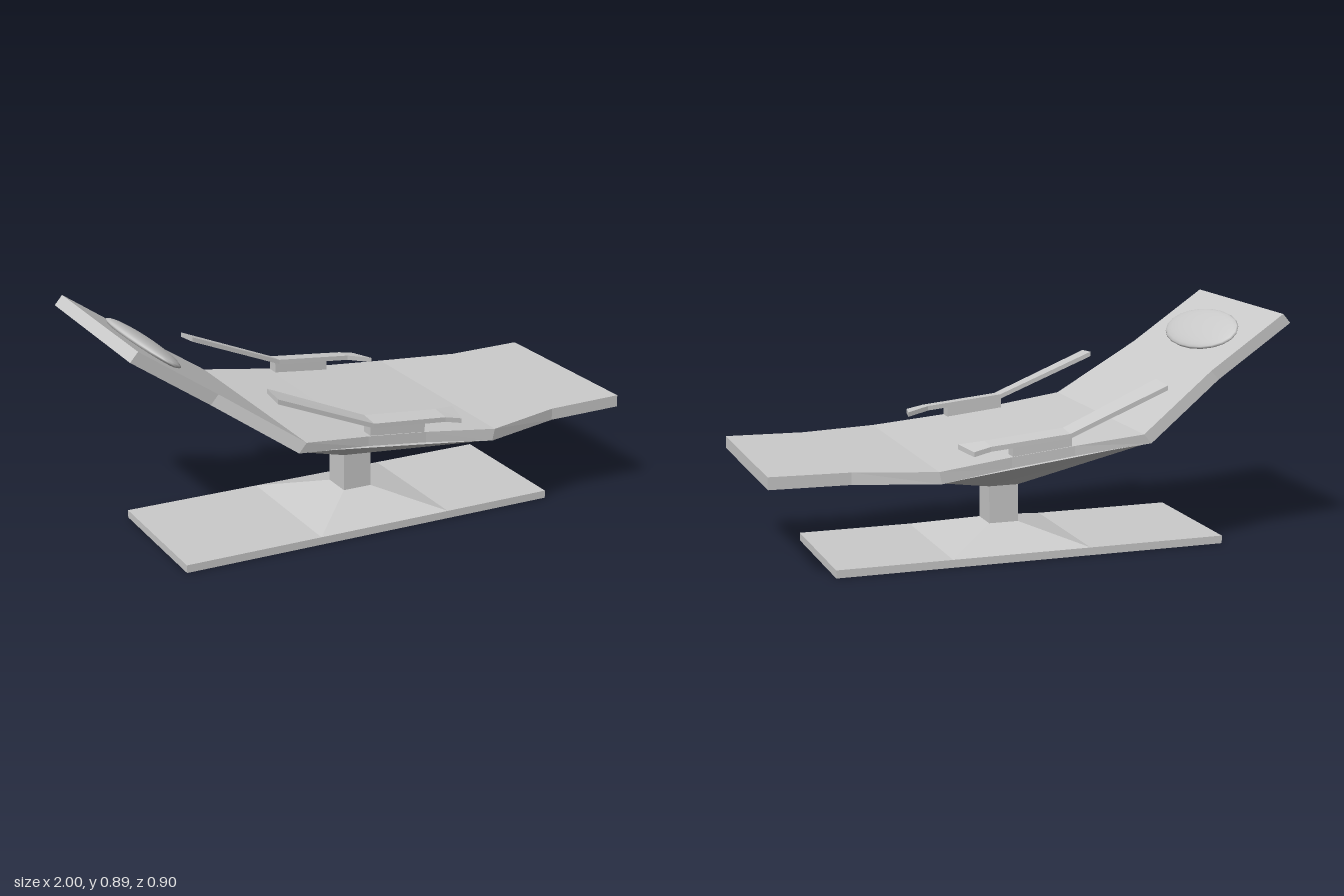
import * as THREE from 'three';

const material = new THREE.MeshStandardMaterial({ color: 0xcccccc, flatShading: true });
const smooth = new THREE.MeshStandardMaterial({ color: 0xcccccc });

// Joins four-cornered rings (counter-clockwise seen from the far end) into a closed solid.
function loft(name, rings) {
  const pos = [];
  const quad = (a, b, c, d) => pos.push(...a, ...b, ...c, ...a, ...c, ...d);
  for (let r = 0; r < rings.length - 1; r++) {
    const a = rings[r], b = rings[r + 1];
    for (let i = 0; i < 4; i++) {
      const j = (i + 1) % 4;
      quad(a[i], a[j], b[j], b[i]);
    }
  }
  quad(...[...rings[0]].reverse());
  quad(...rings[rings.length - 1]);
  const geometry = new THREE.BufferGeometry();
  geometry.setAttribute('position', new THREE.Float32BufferAttribute(pos, 3));
  geometry.computeVertexNormals();
  const mesh = new THREE.Mesh(geometry, material);
  mesh.name = name;
  return mesh;
}

// Horizontal ring; yBack and yFront are the heights at x0 and x1.
const level = (x0, x1, z, yBack, yFront = yBack) => [
  [x0, yBack, z], [x1, yFront, z], [x1, yFront, -z], [x0, yBack, -z],
];

// Mirrors a ring across z = 0, keeping its winding.
const mirrorRing = (ring) => ring.map(([x, y, z]) => [x, y, -z]).reverse();

export function createModel() {
  const group = new THREE.Group();

  // Base plate, flared foot and column
  group.add(loft('basePlate', [level(-0.78, 0.74, 0.285, 0), level(-0.78, 0.74, 0.285, 0.03)]));
  group.add(loft('foot', [level(-0.24, 0.30, 0.285, 0.03), level(-0.03, 0.085, 0.06, 0.096)]));
  group.add(loft('column', [level(-0.03, 0.085, 0.06, 0.09), level(-0.03, 0.085, 0.06, 0.245)]));

  // Spreading support under the seat
  group.add(loft('seatSupport', [
    level(-0.03, 0.085, 0.06, 0.24), level(-0.405, 0.385, 0.443, 0.452, 0.358),
  ]));

  // Reclined bed: bottom x, bottom y, top x, top y, half width
  const bed = [
    [-1.0, 0.855, -0.97, 0.89, 0.373],
    [-0.71, 0.656, -0.68, 0.691, 0.373],
    [-0.41, 0.45, -0.38, 0.485, 0.45],
    [-0.12, 0.416, -0.12, 0.455, 0.425],
    [0.12, 0.388, 0.12, 0.43, 0.423],
    [0.39, 0.356, 0.40, 0.401, 0.446],
    [0.70, 0.361, 0.70, 0.406, 0.372],
    [1.0, 0.365, 1.0, 0.411, 0.372],
  ];
  group.add(loft('bed', bed.map(([bx, by, tx, ty, w]) => [
    [bx, by, w], [bx, by, -w], [tx, ty, -w], [tx, ty, w],
  ])));

  // Head pillow, a flattened ellipsoid lying on the backrest
  const pillow = new THREE.Mesh(new THREE.SphereGeometry(1, 20, 14), smooth);
  pillow.name = 'pillow';
  pillow.scale.set(0.11, 0.024, 0.272);
  pillow.rotation.z = -0.6;
  pillow.position.set(-0.807, 0.79, 0);
  group.add(pillow);

  // Armrest: inner x, outer x, top y, inner z, outer z
  const arm = [
    [-0.475, -0.48, 0.665, 0.33, 0.43],
    [-0.10, -0.10, 0.51, 0.352, 0.43],
    [0.20, 0.20, 0.482, 0.35, 0.425],
    [0.29, 0.265, 0.468, 0.318, 0.43],
  ].map(([xi, xo, y, zi, zo]) => [
    [xo, y - 0.026, zo], [xi, y - 0.018, zi], [xi, y, zi], [xo, y - 0.008, zo],
  ]);
  // Block joining the armrest to the bed
  const block = [[-0.11, 0.44, 0.50], [0.115, 0.415, 0.478]].map(([x, y0, y1]) => [
    [x, y0, 0.42], [x, y0, 0.37], [x, y1, 0.37], [x, y1, 0.42],
  ]);
  for (const [side, place] of [['left', (r) => r], ['right', mirrorRing]]) {
    group.add(loft(side + 'Armrest', arm.map(place)));
    group.add(loft(side + 'ArmrestBlock', block.map(place)));
  }

  return group;
}
